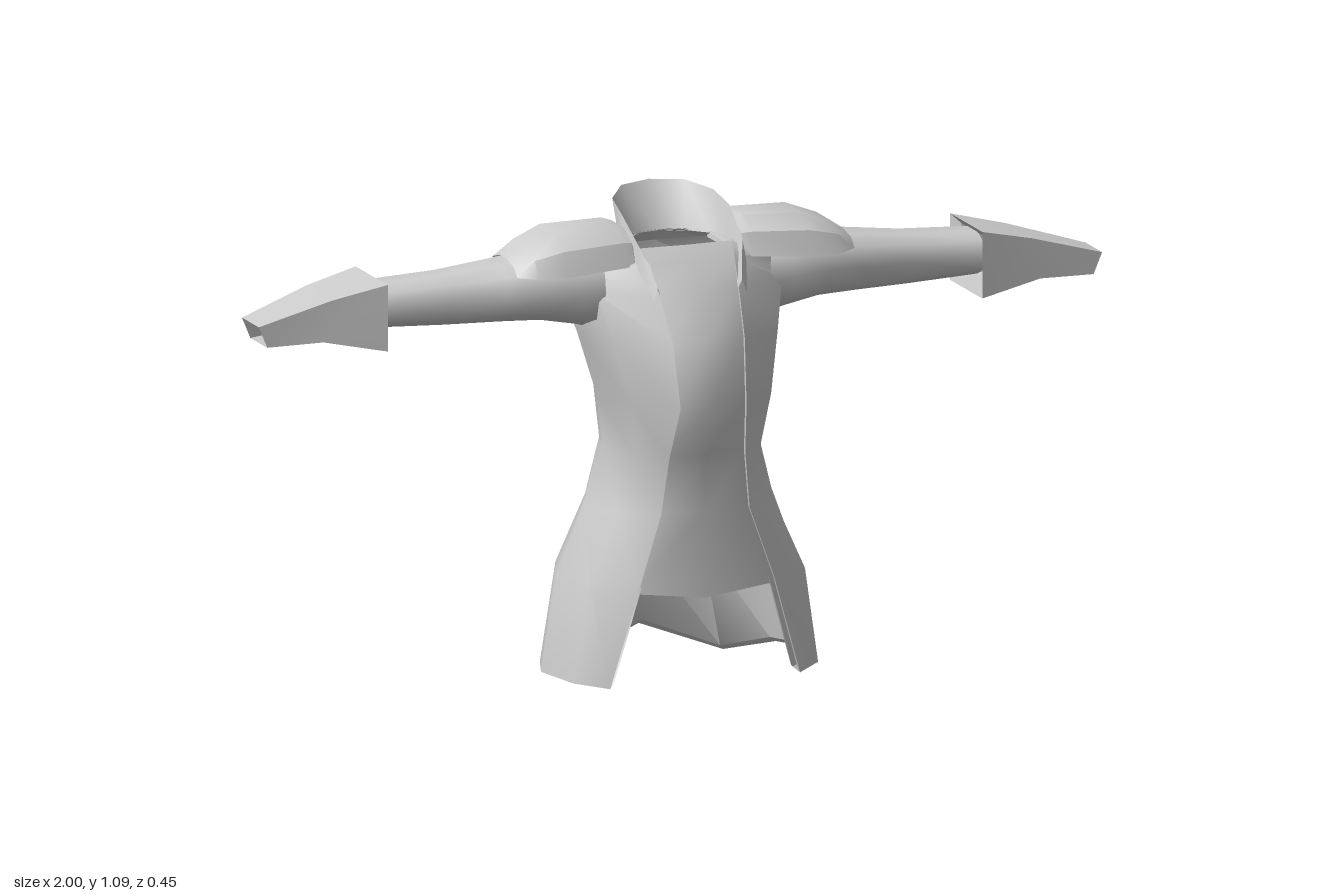
import * as THREE from 'three';
import { toCreasedNormals } from 'three/addons/utils/BufferGeometryUtils.js';

const cloth = new THREE.MeshStandardMaterial({ color: 0xcccccc, side: THREE.DoubleSide });
cloth.name = 'grey cloth';

// Skin a surface over rows of [x, y, z] points
function loft(name, rows, closed = false, crease = 0.8) {
  const n = rows[0].length, index = [];
  for (let r = 0; r < rows.length - 1; r++) {
    for (let i = 0; i < (closed ? n : n - 1); i++) {
      const j = (i + 1) % n;
      const a = r * n + i, b = r * n + j, c = a + n, d = b + n;
      index.push(a, c, b, b, c, d);
    }
  }
  const geo = new THREE.BufferGeometry();
  geo.setAttribute('position', new THREE.Float32BufferAttribute(rows.flat(2), 3));
  geo.setIndex(index);
  const mesh = new THREE.Mesh(toCreasedNormals(geo, crease), cloth);
  mesh.name = name;
  return mesh;
}

// Half row starting at the centre line -> full symmetric row
const mirror = (half) => [...half.slice(1).reverse().map(([x, y, z]) => [-x, y, z]), ...half];

// Coat half sections: height, then [x, z] from the back centre to the front edge
const sections = [
  [0.99, [0, -0.1], [0.06, -0.09], [0.1, -0.05], [0.115, 0], [0.115, 0.04], [0.105, 0.075]],
  [0.96, [0, -0.14], [0.12, -0.135], [0.23, -0.11], [0.26, -0.02], [0.2, 0.07], [0.1, 0.1]],
  [0.9, [0, -0.14], [0.13, -0.142], [0.24, -0.12], [0.26, -0.03], [0.22, 0.08], [0.095, 0.14]],
  [0.8, [0, -0.128], [0.12, -0.13], [0.2, -0.1], [0.235, 0], [0.195, 0.12], [0.085, 0.2]],
  [0.66, [0, -0.115], [0.11, -0.115], [0.165, -0.08], [0.2, 0.03], [0.165, 0.155], [0.078, 0.228]],
  [0.54, [0, -0.11], [0.1, -0.105], [0.155, -0.07], [0.18, 0.02], [0.15, 0.13], [0.09, 0.19]],
  [0.41, [0, -0.145], [0.11, -0.138], [0.18, -0.09], [0.222, 0.01], [0.185, 0.12], [0.105, 0.178]],
  [0.25, [0, -0.205], [0.14, -0.195], [0.235, -0.13], [0.285, 0], [0.255, 0.13], [0.16, 0.188]],
  [0.03, [0, -0.225], [0.19, -0.2], [0.28, -0.11], [0.32, 0], [0.29, 0.12], [0.225, 0.177]],
];
const hemHeights = [0.07, 0, 0.03, 0.035, 0.032, 0.026];

// Open coat body with a folded front edge and hem
function coat() {
  const halves = sections.map(([y, ...pts], r) => {
    const hem = r === sections.length - 1;
    const row = pts.map(([x, z], i) => [x, hem ? hemHeights[i] : y, z]);
    const [ex, ey, ez] = row[5];
    return [...row, [ex + 0.004, ey, ez - 0.022]];
  });
  const fold = halves.at(-1).map(([x, y, z]) => [x * 0.94, y + 0.012, z * 0.94]);
  const lining = halves.at(-2).map(([x, y, z]) => [x * 0.94, y, z * 0.94]);
  return loft('coatBody', [...halves, fold, lining].map(mirror));
}

// Closed undershirt tube just inside the coat, with a flat bottom
function shirt() {
  const rows = sections.slice(0, -1).map(([y, ...pts], r) => {
    const [ex, ez] = pts[5];
    const last = r === 7;
    const half = [
      [0, last ? 0.215 : y, ez - (r ? 0.008 : 0.012)],
      [ex + 0.005, last ? 0.235 : y, ez - 0.016],
      ...pts.slice(1, 5).reverse().map(([x, z]) => [x * 0.92, y, z * 0.92]),
    ];
    const back = [0, y, pts[0][1] * 0.92];
    return [...mirror(half), back];
  });
  rows.push(rows.at(-1).map(() => [0, 0.24, 0]));
  return loft('undershirt', rows, true);
}

// Stand collar flaring up at the back and running down into the lapels
function collar() {
  const inner = [[0, 0.985, -0.1], [0.06, 0.985, -0.088], [0.1, 0.985, -0.045],
    [0.11, 0.975, 0.03], [0.105, 0.94, 0.09], [0.092, 0.9, 0.14]];
  const top = [[0, 1.09, -0.165], [0.075, 1.088, -0.14], [0.12, 1.075, -0.08],
    [0.128, 1.055, 0], [0.122, 1.0, 0.09], [0.1, 0.92, 0.145]];
  const outer = [[0, 0.985, -0.115], [0.07, 0.985, -0.1], [0.115, 0.985, -0.05],
    [0.14, 0.985, 0.03], [0.128, 0.95, 0.1], [0.11, 0.89, 0.15]];
  return loft('collar', [inner, top, outer].map(mirror), false, 0.7);
}

// Rounded ring across the arm: [x, bottom, top, back, front]
function ring(side, [x, y0, y1, z0, z1], sides = 10) {
  return Array.from({ length: sides }, (_, i) => {
    const a = (i / sides) * Math.PI * 2;
    const soft = (v) => Math.sign(v) * Math.abs(v) ** 0.8;
    return [side * x, (y0 + y1) / 2 + soft(Math.sin(a)) * (y1 - y0) / 2,
      (z0 + z1) / 2 + soft(Math.cos(a)) * (z1 - z0) / 2];
  });
}

// Four-cornered ring: [x at top, x at bottom, bottom, top, back, front]
const box = (s, [xt, xb, y0, y1, z0, z1]) =>
  [[s * xt, y1, z1], [s * xt, y1, z0], [s * xb, y0, z0], [s * xb, y0, z1]];

function arm(side, label) {
  const group = new THREE.Group();
  group.name = label + 'Arm';

  const sleeve = [
    [0.17, 0.8, 0.98, -0.13, 0.09],
    [0.25, 0.82, 0.985, -0.142, 0.092],
    [0.33, 0.835, 0.982, -0.14, 0.085],
    [0.42, 0.838, 0.97, -0.122, 0.068],
    [0.55, 0.838, 0.955, -0.105, 0.036],
    [0.72, 0.845, 0.945, -0.11, 0.03],
  ];
  group.add(loft('sleeve', sleeve.map((s) => ring(side, s)), true, 1));

  // Turned-back cuff tapering to the wrist, open at the end
  const cuff = [
    [0.72, 0.72, 0.845, 0.94, -0.11, 0.03],
    [0.705, 0.705, 0.806, 0.957, -0.14, 0.055],
    [0.83, 0.85, 0.835, 0.928, -0.122, 0.036],
    [1, 0.98, 0.832, 0.88, -0.075, 0.027],
  ];
  group.add(loft('cuff', cuff.map((c) => box(side, c)), true, 0.5));

  // Raised shoulder pad: [x, top height, drop, back, front]
  const pad = [
    [0.13, 1.03, 0.07, -0.115, 0.085],
    [0.15, 1.036, 0.08, -0.125, 0.09],
    [0.29, 1.03, 0.085, -0.14, 0.092],
    [0.36, 1.005, 0.06, -0.125, 0.085],
    [0.4, 0.978, 0.03, -0.1, 0.06],
  ].map(([x, y, drop, b, f]) => [
    [side * x, y - drop, f], [side * x, y - drop * 0.35, f - 0.02], [side * x, y, f - 0.07],
    [side * x, y, b + 0.055], [side * x, y - drop * 0.4, b + 0.012], [side * x, y - drop, b],
  ]);
  pad.unshift(pad[0].map(([x, , z]) => [x - side * 0.012, 0.96, z]));
  group.add(loft('shoulderPad', pad, false, 0.5));
  return group;
}

export function createModel() {
  const model = new THREE.Group();
  model.name = 'longCoat';
  model.add(coat(), shirt(), collar(), arm(1, 'left'), arm(-1, 'right'));
  return model;
}
